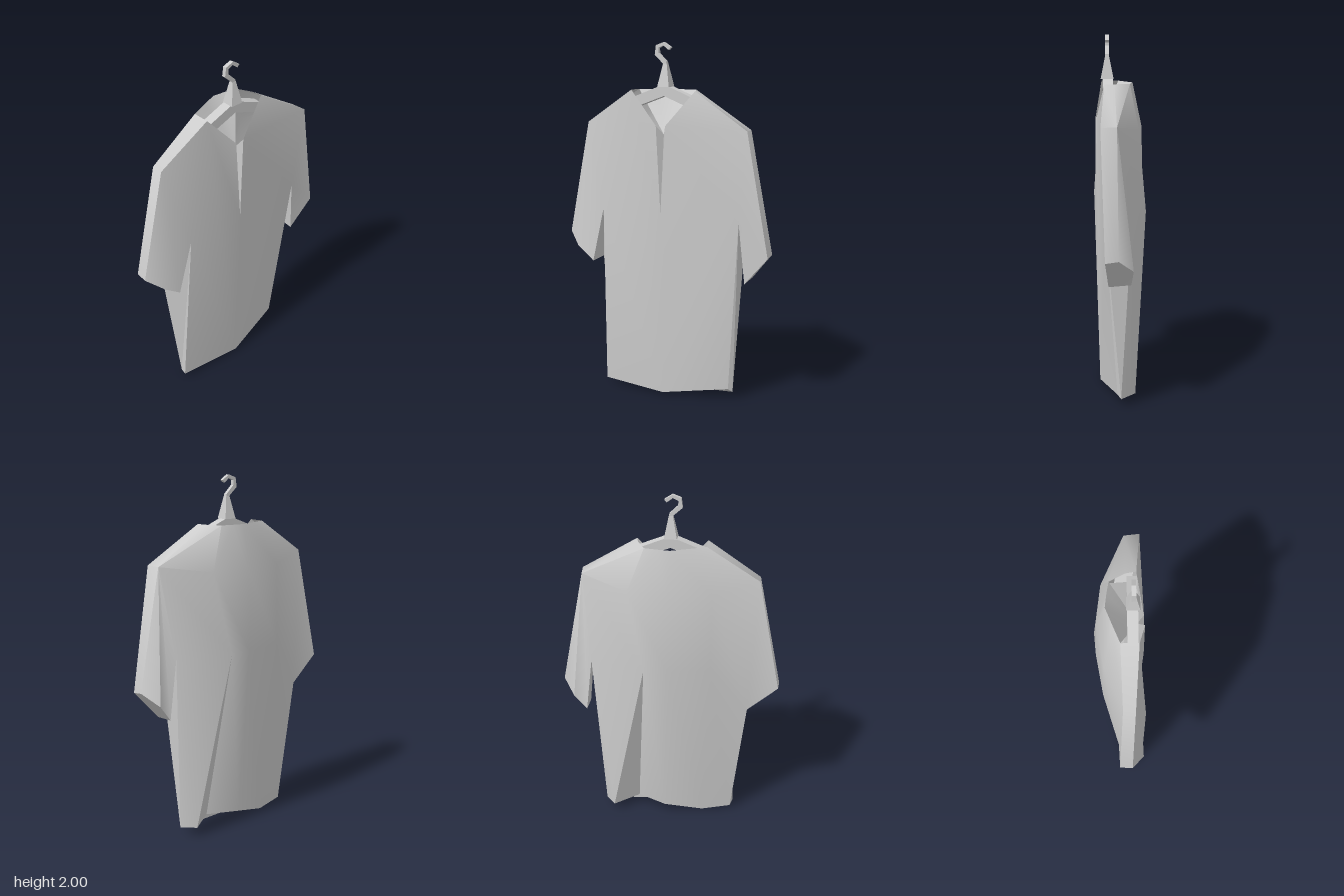
import * as THREE from 'three';
import { toCreasedNormals } from 'three/addons/utils/BufferGeometryUtils.js';

const grey = () => new THREE.MeshStandardMaterial({ color: 0xcccccc, side: THREE.DoubleSide });
const V = (x, y, z) => new THREE.Vector3(x, y, z);

// Cloth mesh from flat-ish outlines; each is triangulated along its outward axis.
function cloth(name, panels, crease = 0.7) {
  const pos = [];
  for (const [axis, sign, pts] of panels) {
    const flat = pts.map(p => axis === 'x' ? new THREE.Vector2(p.z, p.y)
      : axis === 'y' ? new THREE.Vector2(p.x, p.z) : new THREE.Vector2(p.x, p.y));
    for (const tri of THREE.ShapeUtils.triangulateShape(flat, [])) {
      const [a, b, c] = tri.map(i => pts[i]);
      const n = b.clone().sub(a).cross(c.clone().sub(a));
      const order = n[axis] * sign < 0 ? [a, c, b] : [a, b, c];
      order.forEach(p => pos.push(p.x, p.y, p.z));
    }
  }
  const g = new THREE.BufferGeometry();
  g.setAttribute('position', new THREE.Float32BufferAttribute(pos, 3));
  const mesh = new THREE.Mesh(toCreasedNormals(g, crease), grey());
  mesh.name = name;
  return mesh;
}

function extrude(name, pts, z, depth) {
  const shape = new THREE.Shape(pts.map(p => new THREE.Vector2(...p)));
  const g = new THREE.ExtrudeGeometry(shape, { depth, bevelEnabled: false });
  g.translate(0, 0, z - depth / 2);
  const mesh = new THREE.Mesh(g, grey());
  mesh.name = name;
  return mesh;
}

export function createModel() {
  const model = new THREE.Group();

  // Collar and placket
  const neckFL = V(0.185, 1.74, 0.085), neckFR = V(-0.2, 1.74, 0.095);
  const neckSL = V(0.175, 1.74, 0.03), neckBL = V(0.13, 1.74, -0.055), neckBR = V(-0.2, 1.74, 0);
  const lapelL = V(0.025, 1.55, 0.125), lapelR = V(-0.03, 1.55, 0.13);
  const slit = V(0, 1.06, 0.135), hemMid = V(0, 0.01, 0.11);

  // Left (+x) shoulder, sleeve and side
  const shFL = V(0.5, 1.54, 0.11), shBL = V(0.49, 1.54, 0.025);
  const cuffL = [V(0.62, 0.86, 0.09), V(0.62, 0.87, 0.02), V(0.55, 0.8, -0.06),
    V(0.48, 0.71, -0.05), V(0.48, 0.7, 0.07)];
  const armFL = V(0.45, 1.04, 0.09), armBL = V(0.44, 1.04, -0.055);
  const hemFL = V(0.37, 0.06, 0.02), hemSL = V(0.39, 0.04, 0);

  // Right (-x) shoulder, sleeve and side
  const shFR = V(-0.49, 1.55, 0.075), shBR = V(-0.49, 1.55, 0.01);
  const cuffR = [V(-0.625, 0.9, 0.065), V(-0.62, 0.9, -0.005), V(-0.45, 0.75, -0.01),
    V(-0.44, 0.75, 0.13), V(-0.54, 0.83, 0.13)];
  const armFR = V(-0.36, 1.07, 0.14);
  const hemFR = V(-0.385, 0.03, 0.08), hemBR = V(-0.37, 0.02, 0.03);

  // Back pleat
  const pleat = V(0.13, 1.04, -0.145), pleatOut = V(0.33, 0.05, -0.08), pleatIn = V(0.19, 0.06, 0.02);

  // Back rows from left to right, lofted from the neck down to the hem
  const rows = [
    [neckBL, V(0.06, 1.74, -0.067), V(-0.01, 1.74, -0.075), V(-0.1, 1.74, -0.04), neckBR],
    [shBL, V(0.22, 1.5, -0.1), V(0, 1.5, -0.125), V(-0.24, 1.5, -0.085), shBR],
    [armBL, pleat, V(0, 1.04, -0.135), V(-0.24, 1.04, -0.095), cuffR[2]],
    [null, pleatIn, V(0.02, 0.065, -0.065), V(-0.2, 0, 0), hemBR],
  ];
  const back = [];
  for (let r = 0; r < 3; r++) for (let c = r === 2 ? 1 : 0; c < 4; c++) {
    back.push(['z', -1, [rows[r][c], rows[r][c + 1], rows[r + 1][c + 1], rows[r + 1][c]]]);
  }
  back.push(
    ['z', -1, [armBL, pleat, pleatOut]],
    ['z', -1, [armBL, pleatOut, hemSL]],
    ['z', -1, [shBL, armBL, cuffL[3], cuffL[2], cuffL[1]]],
    ['z', -1, [shBR, cuffR[1], cuffR[2]]],
    // Shoulder tops and outer sleeves
    ['y', 1, [neckFL, neckSL, neckBL, shBL, shFL]],
    ['y', 1, [neckFR, neckBR, shBR, shFR]],
    ['x', 1, [shFL, shBL, cuffL[1], cuffL[0]]],
    ['x', -1, [shFR, shBR, cuffR[1], cuffR[0]]],
  );

  // Lining inside the neck, falling from the back collar to the front opening
  const low = V(0, 1.5, 0.09);
  const lining = rows[0].slice(1).map((p, i) => ['z', 1, [rows[0][i], p, low]]);

  model.add(
    cloth('shirtFront', [
      ['z', 1, [neckFR, shFR, armFR, hemFR, hemMid, slit, lapelR]],
      ['z', 1, [shFR, cuffR[0], cuffR[4], cuffR[3], armFR]],
      ['z', 1, [neckFL, shFL, armFL, hemFL, hemMid, slit, lapelL]],
      ['z', 1, [shFL, cuffL[0], cuffL[4], armFL]],
    ], 1.2),
    cloth('backAndSleeves', back, 0.95),
    cloth('backPleat', [['z', -1, [pleat, pleatOut, pleatIn]]]),
    cloth('collarLining', lining, 1),
    cloth('innerSleeves', [
      ['x', -1, [armFL, armBL, cuffL[3], cuffL[4]]],
      ['x', 1, [armFR, cuffR[2], cuffR[3]]],
    ]),
    cloth('sideSeams', [
      ['x', 1, [armFL, armBL, hemSL, hemFL]],
      ['x', -1, [armFR, cuffR[2], hemBR, hemFR]],
    ]),
    cloth('cuffs', [['y', -1, cuffL], ['y', -1, cuffR]]),
    cloth('hem', [['y', -1, [hemMid, hemFL, hemSL, pleatOut, ...rows[3].slice(1), hemFR]]], 1),
    // Turned-in edges of the front opening
    cloth('placketFolds', [
      ['x', 1, [lapelR, slit, low]],
      ['x', -1, [lapelL, slit, low]],
    ]),
  );

  // Hanger: arms, tapered stem and angular hook
  const hanger = new THREE.Group();
  hanger.name = 'hanger';
  hanger.add(extrude('hangerArms', [[-0.19, 1.7], [-0.19, 1.64], [0, 1.71], [0.18, 1.64],
    [0.18, 1.7], [0.035, 1.76], [-0.035, 1.76]], 0.063, 0.055));
  const stemGeo = new THREE.CylinderGeometry(0.014, 0.05, 0.13, 4).rotateY(Math.PI / 4).toNonIndexed();
  stemGeo.computeVertexNormals();
  const stem = new THREE.Mesh(stemGeo, grey());
  stem.name = 'hangerStem';
  stem.position.set(0, 1.825, 0.066);
  hanger.add(stem, extrude('hangerHook', [[-0.01, 1.875], [0.01, 1.875], [0.008, 1.895], [-0.038, 1.94],
    [-0.04, 1.968], [-0.01, 1.982], [0.022, 1.958], [0.035, 1.972], [-0.008, 2],
    [-0.055, 1.983], [-0.062, 1.93], [-0.012, 1.885]], 0.066, 0.022));
  model.add(hanger);
  return model;
}
